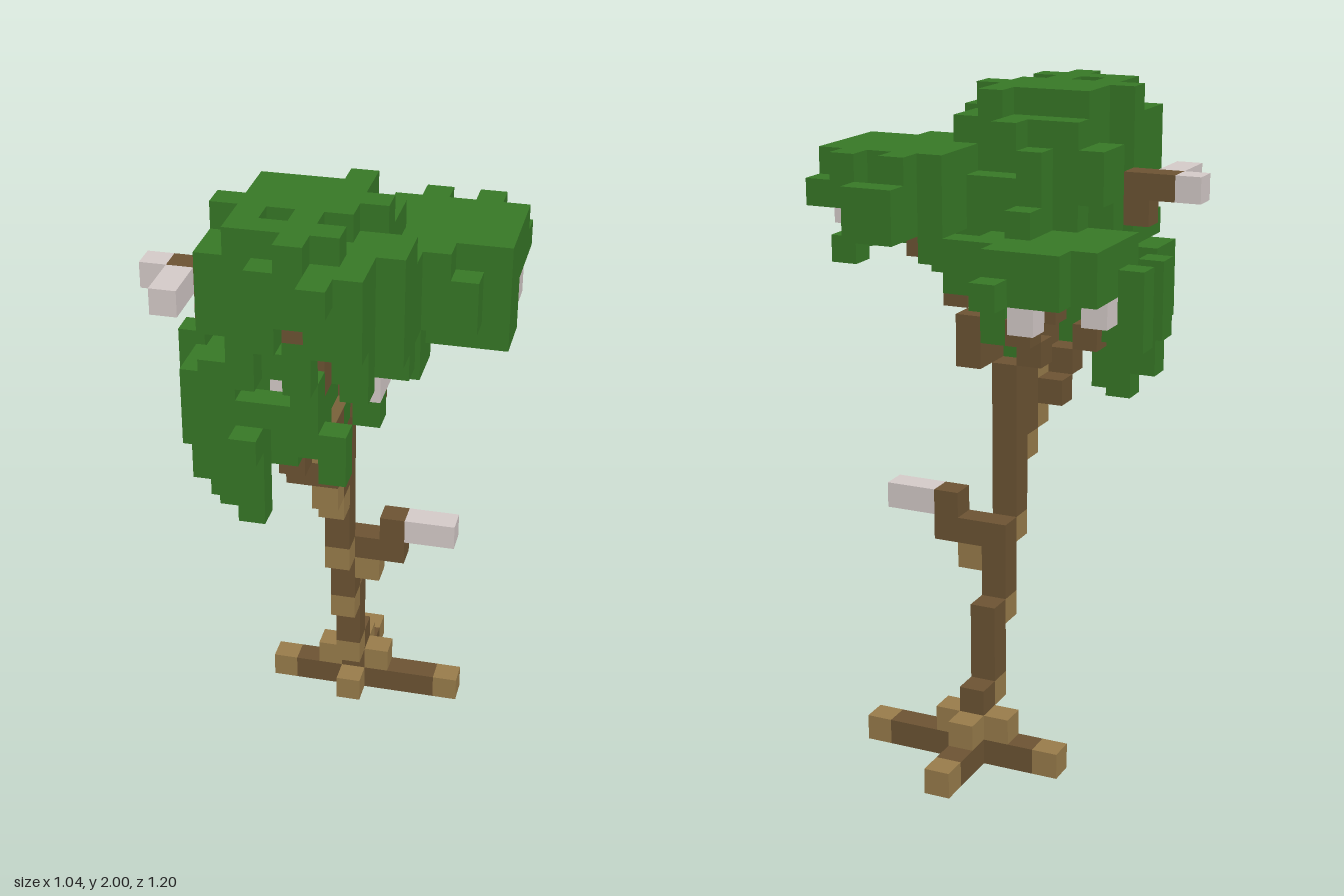
import * as THREE from 'three';
import { mergeGeometries } from 'three/addons/utils/BufferGeometryUtils.js';

const S = 0.08; // edge of one cube

const mat = (name, color) => Object.assign(new THREE.MeshStandardMaterial({ color }), { name });

// small repeatable noise in 0..1
const noise = (i, j, k) => {
  const s = Math.sin(i * 127.1 + j * 311.7 + k * 74.7) * 43758.5453;
  return s - Math.floor(s);
};

export function createModel() {
  const materials = {
    leaf: mat('leafGreen', 0x387a27),
    bark: mat('darkBark', 0x6e5534),
    wood: mat('lightBark', 0x9b7e4c),
    tip: mat('paleTip', 0xd8cecc),
  };
  const cells = new Map();
  const key = (i, j, k) => `${i},${j},${k}`;
  const put = (part, kind, i, j, k) => {
    if (!cells.has(key(i, j, k))) cells.set(key(i, j, k), { part, kind, i, j, k });
  };
  // fill a block of cubes, limits included
  const fill = (part, kind, [i0, i1], [j0, j1], [k0, k1]) => {
    for (let i = i0; i <= i1; i++)
      for (let j = j0; j <= j1; j++)
        for (let k = k0; k <= k1; k++) put(part, kind, i, j, k);
  };
  const list = (part, kind, pts) => pts.forEach((p) => put(part, kind, ...p));

  // roots: long cross bar, back root and small buttresses
  list('roots', 'wood', [[-3, 0, -4], [4, 0, -4], [0, 0, -3], [0, 0, -7], [-1, 1, -4], [1, 1, -4], [0, 1, -5]]);
  fill('roots', 'bark', [-3, 4], [0, 0], [-4, -4]);
  fill('roots', 'bark', [0, 0], [0, 0], [-6, -5]);

  // leaning trunk
  list('trunk', 'wood', [[0, 2, -3], [0, 5, -2], [0, 8, -1], [0, 11, 0], [0, 12, 1], [0, 14, 1]]);
  fill('trunk', 'bark', [0, 0], [1, 2], [-4, -4]);
  fill('trunk', 'bark', [0, 0], [3, 5], [-3, -3]);
  fill('trunk', 'bark', [0, 0], [6, 8], [-2, -2]);
  fill('trunk', 'bark', [0, 0], [9, 14], [-1, -1]);
  fill('trunk', 'bark', [0, 0], [12, 14], [0, 0]);
  put('trunk', 'bark', 0, 13, 1);

  // low broken branch
  put('lowBranch', 'wood', 1, 7, -2);
  list('lowBranch', 'bark', [[1, 8, -2], [2, 8, -2], [2, 9, -2]]);
  list('lowBranch', 'tip', [[3, 9, -2], [4, 9, -2]]);

  // high side branch with pale ends
  list('highBranch', 'bark', [[-5, 21, 2], [-4, 21, 2], [-4, 20, 2], [-3, 20, 2], [-2, 19, 2], [-1, 19, 2]]);
  list('highBranch', 'tip', [[-6, 21, 2], [-5, 21, 3], [-5, 21, 4]]);

  // forks that carry the three crowns
  list('forks', 'wood', [[0, 16, 2], [0, 16, 1], [0, 16, 0]]);
  list('forks', 'bark', [
    [-1, 13, 1], [-1, 14, 2], [-2, 15, 2], [0, 15, 2], [0, 15, 1], [0, 17, 1], [1, 17, 1], [1, 17, 0],
    [1, 15, -1], [1, 15, -2], [1, 16, -2], [2, 17, -1], [2, 18, -1], [3, 19, -2],
    [-1, 15, -1], [-1, 16, -2], [-2, 17, -2], [0, 21, 5],
  ]);
  fill('forks', 'bark', [0, 0], [18, 21], [3, 3]);
  list('twigTips', 'tip', [
    [1, 19, 2], [2, 18, 2], [2, 18, 3], [-1, 18, 3], [6, 20, -2], [4, 20, -4], [-2, 17, -4], [-4, 17, -2],
  ]);

  // overall limits of the foliage: per level [minX, maxX, minZ, maxZ], from level 16
  const levels = [
    [-5, 1, -3, 5], [-5, 2, -3, 4], [-5, 3, -5, 4], [-4, 6, -4, 5], [-3, 6, -5, 5],
    [-3, 6, -5, 6], [-3, 6, -4, 6], [-3, 3, -1, 7],
  ];
  // spans of x in plan, for z from -5 to 7
  const plan = [
    [[-1, -1], [3, 4]], [[-3, -1], [3, 3], [5, 6]], [[-4, 6]], [[-4, 6]], [[-5, 6]], [[-4, 6]],
    [[-5, -5], [-3, 5]], [[-2, 3]], [[-4, 3]], [[-4, 3]], [[-3, 2]], [[-1, 2]], [[1, 1]],
  ];
  const allowed = (i, j, k) => {
    const l = levels[j - 16];
    return l && i >= l[0] && i <= l[1] && k >= l[2] && k <= l[3]
      && plan[k + 5].some(([a, b]) => i >= a && i <= b);
  };

  // hollow ragged dome of leaves
  const dome = (part, [cx, cz], [rx, rz], base, top, ry, keep) => {
    for (let i = -5; i <= 6; i++)
      for (let k = -5; k <= 7; k++) {
        const low = base + Math.floor(noise(i, 3, k) * 2.4);
        for (let j = low; j <= top; j++) {
          if (!allowed(i, j, k) || !keep(i, j, k)) continue;
          const v = (a, b, c) => ((i - cx) / a) ** 2 + ((k - cz) / b) ** 2 + ((j - base) / c) ** 4;
          const inside = v(rx, rz, ry) <= 0.74 + noise(i, j, k) * 0.48;
          const hollow = v(rx - 1.7, rz - 1.7, ry - 2) < 0.9 && j < top - 1;
          if (inside && !hollow) put(part, 'leaf', i, j, k);
        }
      }
  };
  dome('mainCrown', [-0.2, 3], [4, 4.9], 18, 23, 6.9, (i, j, k) =>
    !(i === -3 && (k === 2 || (j === 20 && k > 2)))
    && !(i === 0 && j === 21 && k > 5)
    && !(j === 19 && ((i === 1 && k > 2) || (i > 1 && k === 2)))
    && !(j === 18 && (((i === 2 || i === -1) && k > 3) || (i === 3 && (k === 2 || k === 3)))));
  dome('sideCrown', [4, -2], [3.2, 3.6], 19, 22, 4.2, (i, j, k) =>
    i >= 2 && !(j === 20 && k === -4 && i > 4) && !(j === 19 && k === -2 && i > 3));
  dome('lowerCrown', [-2, -0.5], [3.6, 5.2], 16, 19, 4.6, (i, j, k) =>
    i <= (j < 18 ? 0 : 1)
    && !(j < 18 && (k <= -4 || (i <= -4 && k <= -2)))
    && !(i === -1 && j === 18 && k > 2));

  // notched cap of the main crown, with a single leaf out on each side
  fill('crownCap', 'leaf', [-2, 1], [24, 24], [1, 3]);
  fill('crownCap', 'leaf', [-2, 1], [24, 24], [5, 5]);
  list('crownCap', 'leaf', [[-2, 24, 4], [0, 24, 4], [1, 24, 0], [-3, 24, 3], [2, 24, 2], [0, 24, 6]]);

  // hanging and protruding leaf tufts: x, z, lowest and highest level
  [
    [-3, 3, 13, 17], [-2, 4, 13, 17], [-3, 4, 14, 16], [-4, 3, 14, 17], [-1, 3, 15, 17], [1, 4, 15, 16],
    [0, 4, 16, 17], [2, 3, 17, 17], [-2, 5, 16, 16], [-4, 4, 16, 17], [3, 0, 18, 19], [-5, 1, 16, 17],
    [-5, -1, 17, 18], [-1, -5, 18, 18], [0, 0, 15, 15], [0, 5, 19, 20], [1, -3, 18, 19],
    [-3, 3, 22, 23], [0, -1, 23, 23], [0, 0, 22, 23], [1, 0, 22, 23], [1, 6, 21, 23], [1, 7, 23, 23],
    [3, 3, 20, 23], [3, 1, 20, 22], [3, 4, 20, 21], [-3, 5, 21, 22], [2, 5, 20, 22], [-1, 6, 21, 22],
    [2, 6, 21, 22], [0, 6, 22, 23], [5, 1, 20, 21], [6, -4, 21, 21], [6, 0, 19, 22], [3, -5, 20, 21],
    [4, -5, 21, 21],
  ].forEach(([i, k, a, b]) => fill('leafTufts', 'leaf', [i, i], [a, b], [k, k]));

  // one square per exposed cube side, grouped by part and colour
  const sides = [[1, 0, 0], [-1, 0, 0], [0, 1, 0], [0, -1, 0], [0, 0, 1], [0, 0, -1]].map((d) => {
    const n = new THREE.Vector3(...d);
    const q = new THREE.Quaternion().setFromUnitVectors(new THREE.Vector3(0, 0, 1), n);
    const face = new THREE.PlaneGeometry(S, S).applyQuaternion(q);
    return { d, face: face.translate(n.x * S / 2, n.y * S / 2, n.z * S / 2) };
  });
  const parts = {};
  for (const { part, kind, i, j, k } of cells.values()) {
    const faces = ((parts[part] ??= {})[kind] ??= []);
    for (const { d, face } of sides)
      if (!cells.has(key(i + d[0], j + d[1], k + d[2])))
        faces.push(face.clone().translate(i * S, (j + 0.5) * S, k * S));
  }

  const model = new THREE.Group();
  model.name = 'tree';
  for (const [part, kinds] of Object.entries(parts)) {
    const group = new THREE.Group();
    group.name = part;
    for (const [kind, faces] of Object.entries(kinds)) {
      if (!faces.length) continue;
      const mesh = new THREE.Mesh(mergeGeometries(faces), materials[kind]);
      mesh.name = `${part} ${materials[kind].name}`;
      group.add(mesh);
    }
    model.add(group);
  }
  return model;
}
